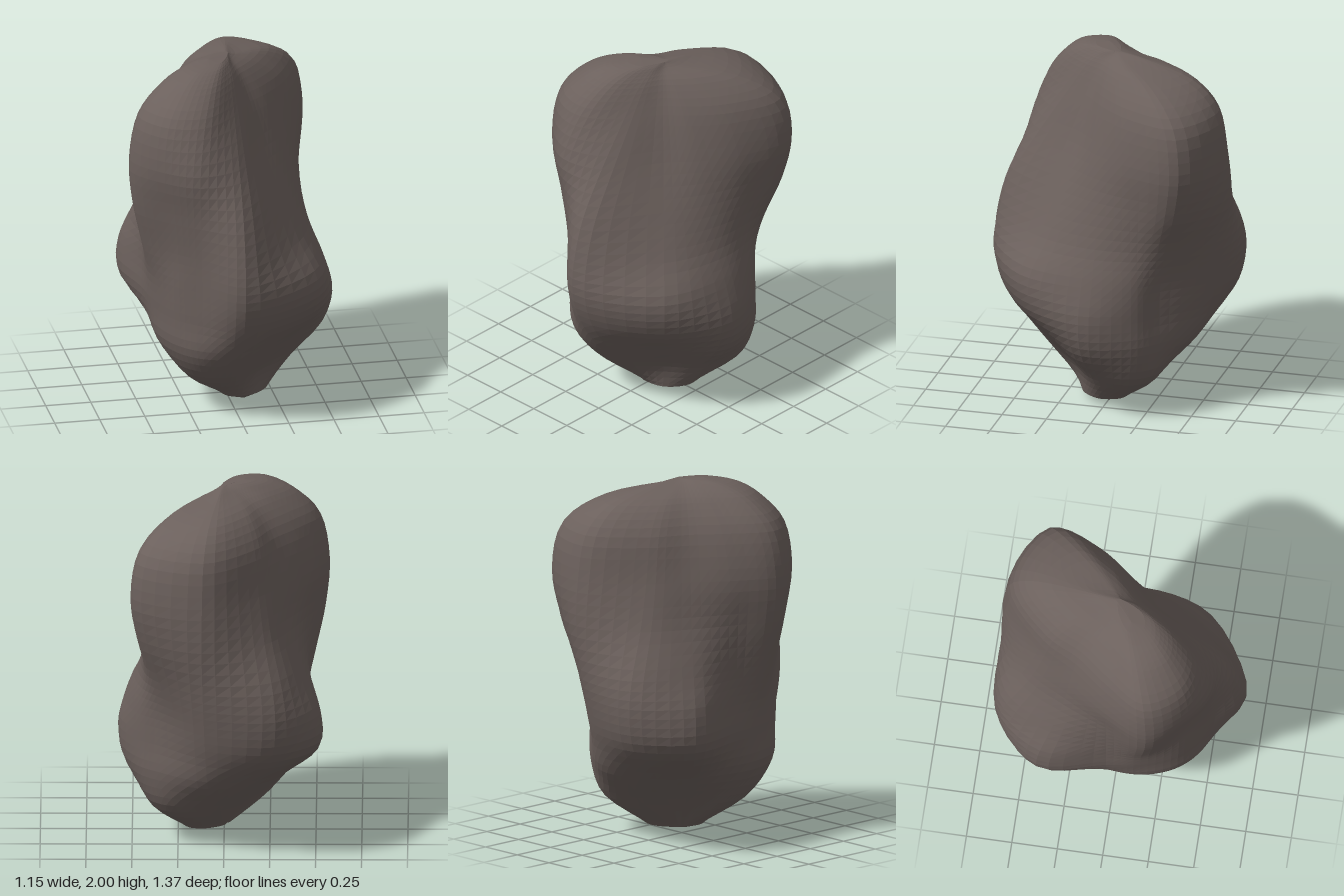
import * as THREE from 'three';

// Directions of the outline points, in degrees from the right end of the top ridge
const ANGLES = [0, 20, 50, 90, 137, 160, 180, 205, 228, 262, 292, 325];

// Heights of the outlines, and the reach of each outline in every direction
const HEIGHTS = [0.04, 0.20, 0.40, 0.60, 0.80, 1.00, 1.25, 1.50, 1.75, 1.90, 1.97, 1.993];
const OUTLINES = [
  [0.15, 0.21, 0.23, 0.20, 0.16, 0.11, 0.07, 0.04, 0.03, 0.02, 0.03, 0.06],
  [0.41, 0.43, 0.35, 0.25, 0.33, 0.36, 0.34, 0.27, 0.20, 0.17, 0.21, 0.28],
  [0.49, 0.52, 0.53, 0.41, 0.50, 0.51, 0.48, 0.43, 0.39, 0.40, 0.45, 0.49],
  [0.49, 0.53, 0.58, 0.57, 0.62, 0.53, 0.50, 0.46, 0.46, 0.64, 0.66, 0.57],
  [0.50, 0.52, 0.53, 0.60, 0.68, 0.54, 0.51, 0.48, 0.46, 0.65, 0.72, 0.62],
  [0.55, 0.49, 0.45, 0.48, 0.67, 0.55, 0.52, 0.53, 0.46, 0.56, 0.69, 0.66],
  [0.65, 0.49, 0.38, 0.36, 0.60, 0.57, 0.56, 0.59, 0.47, 0.46, 0.57, 0.69],
  [0.70, 0.49, 0.31, 0.25, 0.46, 0.58, 0.60, 0.61, 0.48, 0.41, 0.49, 0.68],
  [0.64, 0.41, 0.22, 0.16, 0.29, 0.48, 0.56, 0.56, 0.41, 0.34, 0.43, 0.63],
  [0.41, 0.23, 0.12, 0.09, 0.18, 0.35, 0.43, 0.42, 0.28, 0.23, 0.30, 0.47],
  [0.09, 0.05, 0.03, 0.03, 0.09, 0.23, 0.31, 0.28, 0.16, 0.10, 0.11, 0.20],
  [0.02, 0.01, 0.01, 0.01, 0.03, 0.13, 0.19, 0.18, 0.09, 0.04, 0.03, 0.04],
];
const FOOT = [0.08, 0, 0.10];
const PEAK = [-0.11, 2, 0.06];
const STEPS = 4;   // rings between two outlines
const SIDES = 60;  // points around each ring

// Height and reaches together, one row per outline
const LEVELS = OUTLINES.map((reach, k) => [HEIGHTS[k], ...reach]);

// Catmull-Rom blend of neighbouring levels
function levelAt(t) {
  const last = LEVELS.length - 1;
  const i = Math.min(Math.floor(t), last - 1), f = t - i;
  const row = (k) => LEVELS[Math.max(0, Math.min(last, k))];
  const [a, b, c, d] = [row(i - 1), row(i), row(i + 1), row(i + 2)];
  return b.map((p, k) => p + 0.5 * f * (c[k] - a[k]
    + f * (2 * a[k] - 5 * p + 4 * c[k] - d[k] + f * (3 * (p - c[k]) + d[k] - a[k]))));
}

// One closed ring; the ridge runs diagonally, so the outline is turned by 45 degrees
function ringAt(t) {
  const [y, ...reach] = levelAt(t);
  const points = reach.map((r, k) => {
    const a = THREE.MathUtils.degToRad(ANGLES[k] - 45);
    return new THREE.Vector3(r * Math.cos(a), y, r * Math.sin(a));
  });
  return new THREE.CatmullRomCurve3(points, true).getPoints(SIDES).slice(0, SIDES);
}

function boulderGeometry() {
  const positions = [], index = [];
  const rings = (LEVELS.length - 1) * STEPS;
  for (let j = 0; j <= rings; j++) {
    ringAt(j / STEPS).forEach((p) => positions.push(p.x, p.y, p.z));
  }
  positions.push(...FOOT, ...PEAK);
  const foot = (rings + 1) * SIDES, peak = foot + 1;
  for (let i = 0; i < SIDES; i++) {
    const next = (i + 1) % SIDES;
    for (let j = 0; j < rings; j++) {
      const a = j * SIDES + i, b = j * SIDES + next;
      index.push(a, a + SIDES, b, b, a + SIDES, b + SIDES);
    }
    index.push(foot, i, next);
    index.push(peak, rings * SIDES + next, rings * SIDES + i);
  }
  const geometry = new THREE.BufferGeometry();
  geometry.setAttribute('position', new THREE.Float32BufferAttribute(positions, 3));
  geometry.setIndex(index);
  geometry.computeVertexNormals();
  return geometry;
}

export function createModel() {
  const stone = new THREE.MeshStandardMaterial({ color: 0x6b605c, flatShading: true });
  stone.name = 'brown grey stone';

  const boulder = new THREE.Mesh(boulderGeometry(), stone);
  boulder.name = 'boulder';

  const model = new THREE.Group();
  model.name = 'rock';
  model.add(boulder);
  return model;
}
